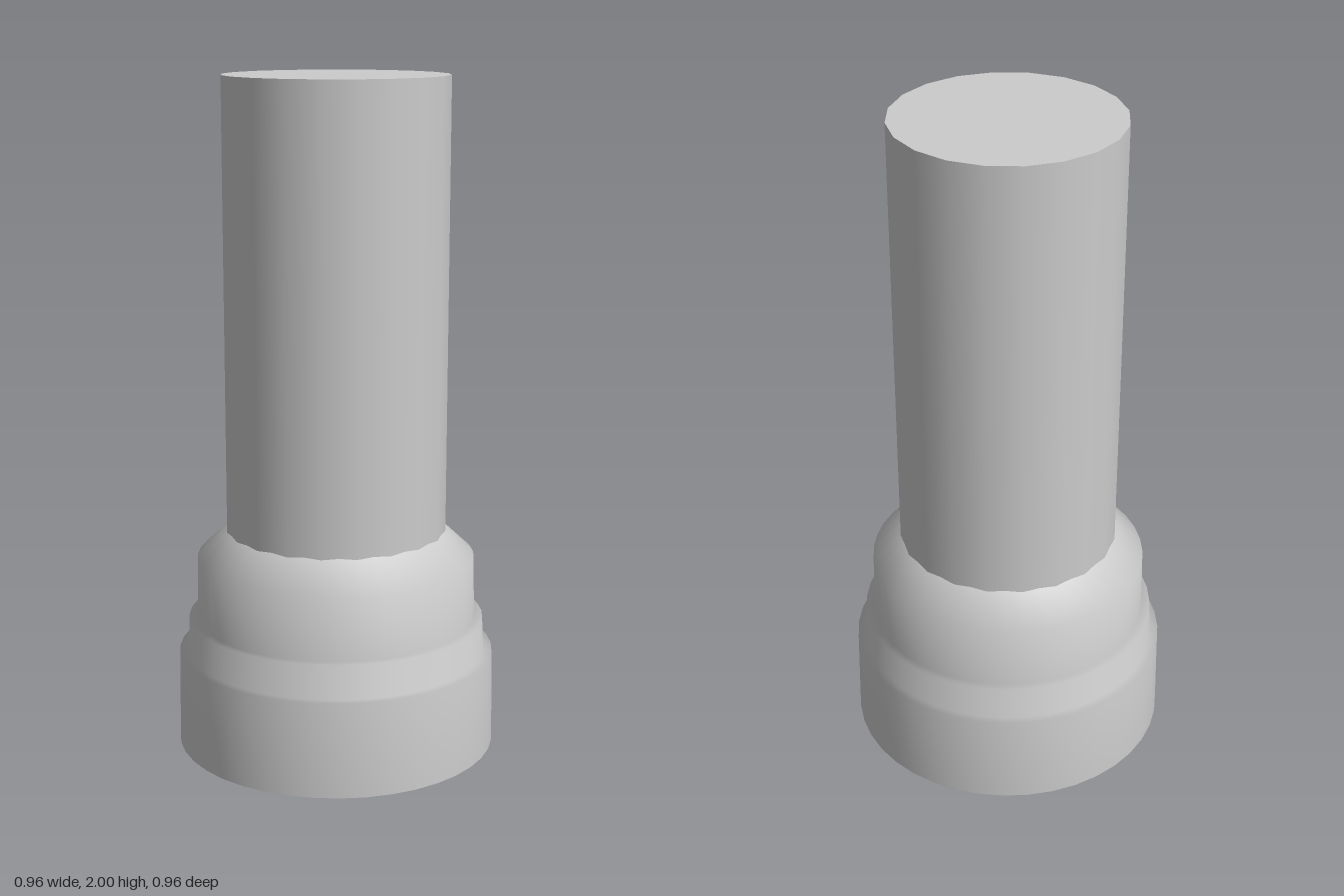
import * as THREE from 'three';

export function createModel() {
  const group = new THREE.Group();
  const material = new THREE.MeshStandardMaterial({ color: 0xcccccc });
  const add = (name, geometry) => {
    const mesh = new THREE.Mesh(geometry, material);
    mesh.name = name;
    group.add(mesh);
    return mesh;
  };

  // Stepped collar: three slightly tapered tiers and a sloped shoulder
  const profile = [
    [0.48, 0], [0.475, 0.285],
    [0.45, 0.285], [0.445, 0.388],
    [0.42, 0.388], [0.416, 0.578],
    [0.32, 0.668],
  ].map(([r, y]) => new THREE.Vector2(r, y));
  add('steppedBase', new THREE.LatheGeometry(profile, 40));

  // Flat underside
  const underside = add('baseUnderside', new THREE.CircleGeometry(0.48, 40));
  underside.rotation.x = Math.PI / 2;

  // Plain shaft, sunk a little into the shoulder
  const bottom = 0.6, top = 2;
  const shaft = add('shaft', new THREE.CylinderGeometry(0.33, 0.33, top - bottom, 20));
  shaft.position.y = (top + bottom) / 2;

  return group;
}
